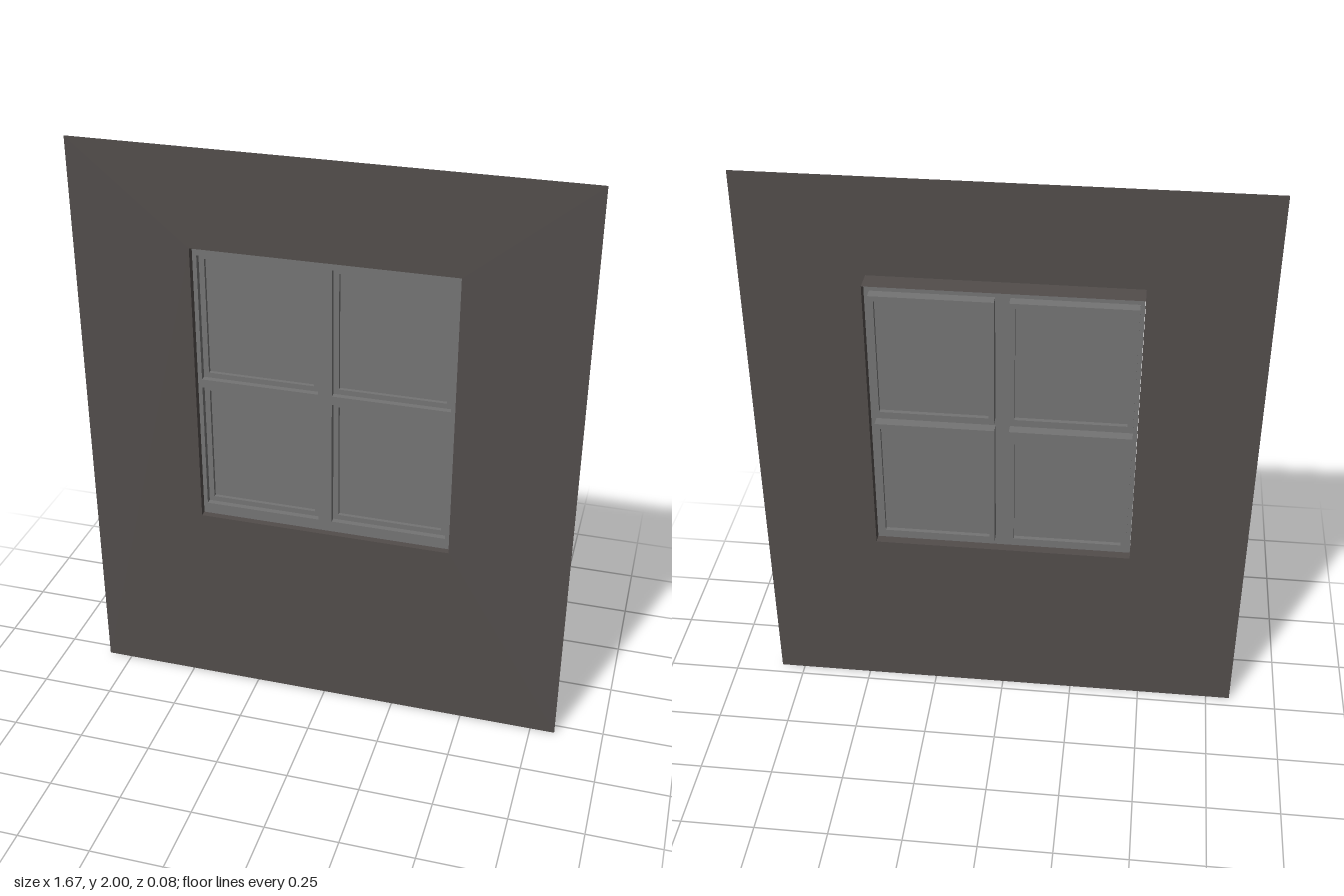
import * as THREE from 'three';

const wallPaint = new THREE.MeshStandardMaterial({ color: 0x524d4b, side: THREE.DoubleSide });
wallPaint.name = 'dark wall paint';
const windowGrey = new THREE.MeshStandardMaterial({ color: 0x747474 });
windowGrey.name = 'window grey';

// Rectangles are [x0, x1, y0, y1]
const WALL = [-0.835, 0.835, 0, 2];
const OPENING = [-0.44, 0.43, 0.68, 1.67];
const COLUMNS = [[-0.425, -0.027], [0.02, 0.412]];
const ROWS = [[0.72, 1.17], [1.2, 1.64]];
const LIGHTS = COLUMNS.flatMap((c) => ROWS.map((r) => [...c, ...r]));

const WALL_Z = 0.039, REVEAL_BACK = -0.034;
const FRAME_FRONT = 0.017, FRAME_BACK = -0.003, SASH_BACK = -0.039;
const SASH_WIDTH = 0.018;

function trace(path, [x0, x1, y0, y1]) {
  path.moveTo(x0, y0);
  path.lineTo(x1, y0);
  path.lineTo(x1, y1);
  path.lineTo(x0, y1);
  path.closePath();
  return path;
}

function sheet(outer, holes) {
  const shape = trace(new THREE.Shape(), outer);
  shape.holes = holes.map((h) => trace(new THREE.Path(), h));
  return shape;
}

const inset = ([x0, x1, y0, y1], d) => [x0 + d, x1 - d, y0 + d, y1 - d];

function add(group, name, geometry, material) {
  const mesh = new THREE.Mesh(geometry, material);
  mesh.name = name;
  group.add(mesh);
  return mesh;
}

// Extruded slab with rectangular holes between two depths
function slab(outer, holes, back, front) {
  const geometry = new THREE.ExtrudeGeometry(sheet(outer, holes), { depth: front - back, bevelEnabled: false });
  return geometry.translate(0, 0, back);
}

export function createModel() {
  const model = new THREE.Group();
  model.name = 'wallWithWindow';

  // Paper-thin wall with the window opening
  add(model, 'wall', new THREE.ShapeGeometry(sheet(WALL, [OPENING])).translate(0, 0, WALL_Z), wallPaint);

  // Thin lining of the opening, running back from the wall
  const reveal = new THREE.Group();
  reveal.name = 'windowReveal';
  const [x0, x1, y0, y1] = OPENING;
  const depth = WALL_Z - REVEAL_BACK, midZ = (WALL_Z + REVEAL_BACK) / 2;
  for (const [name, x] of [['rightLining', x0], ['leftLining', x1]]) {
    const g = new THREE.PlaneGeometry(depth, y1 - y0).rotateY(Math.sign(x) * Math.PI / 2);
    add(reveal, name, g, wallPaint).position.set(x, (y0 + y1) / 2, midZ);
  }
  for (const [name, y, turn] of [['sill', y0, 1], ['head', y1, -1]]) {
    const g = new THREE.PlaneGeometry(x1 - x0, depth).rotateX(turn * Math.PI / 2);
    add(reveal, name, g, wallPaint).position.set((x0 + x1) / 2, y, midZ);
  }
  model.add(reveal);

  // Frame with its cross bars, set back from the wall
  add(model, 'windowFrame', slab(inset(OPENING, 0.001), LIGHTS, FRAME_BACK, FRAME_FRONT), windowGrey);

  // Four sashes, each a raised rim around a pane
  for (const light of LIGHTS) {
    const sash = new THREE.Group();
    sash.name = 'sash';
    const inner = inset(light, SASH_WIDTH);
    add(sash, 'sashRim', slab(light, [inner], SASH_BACK, FRAME_BACK), windowGrey);
    add(sash, 'pane', slab(inner, [], -0.024, -0.016), windowGrey);
    model.add(sash);
  }
  return model;
}
